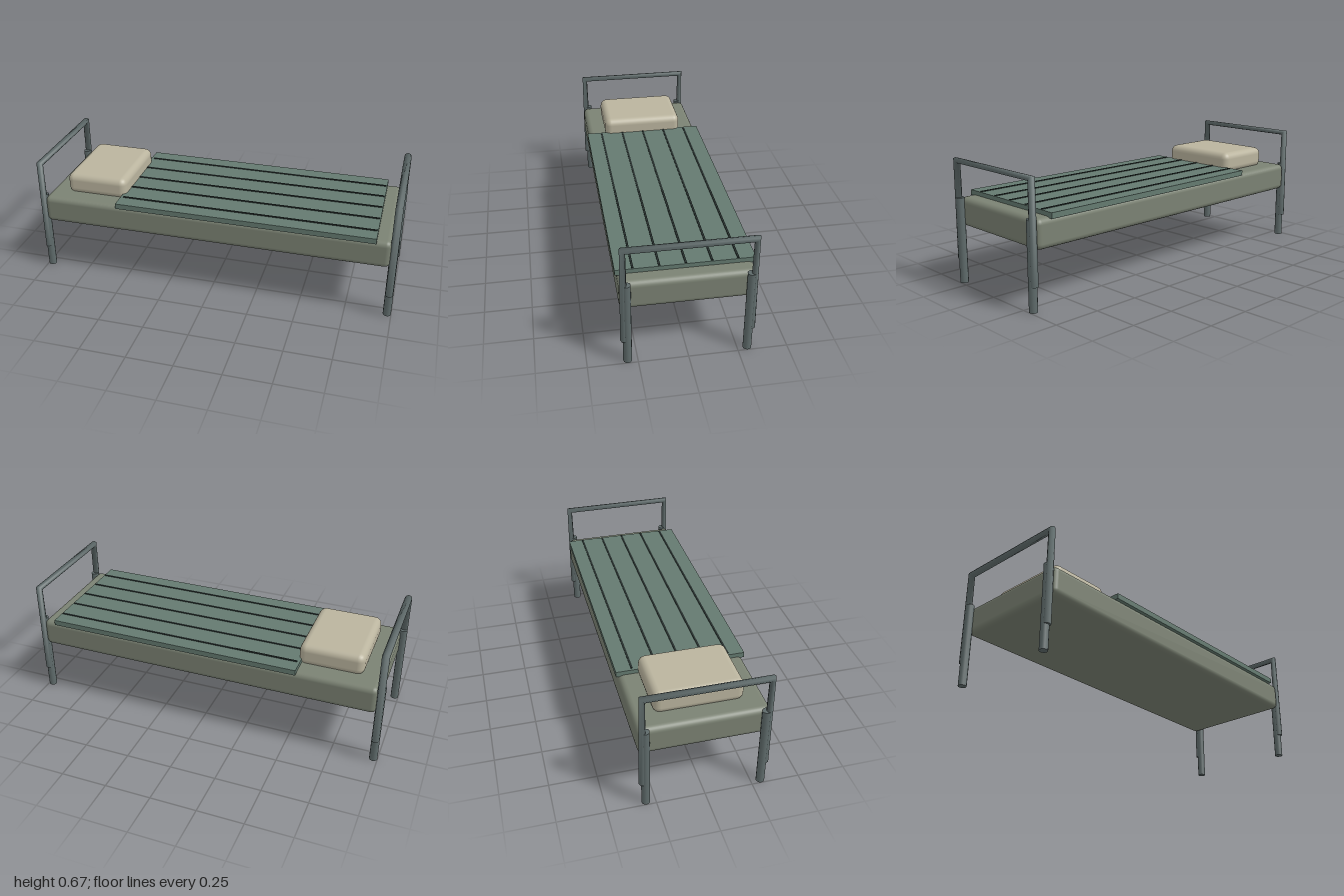
import * as THREE from 'three';
import { RoundedBoxGeometry } from 'three/addons/geometries/RoundedBoxGeometry.js';

// Polyline whose tube rings sit exactly on its corners, tilted to the mitre
class MitredPath extends THREE.Curve {
  constructor(points) {
    super();
    this.points = points;
  }
  index(u) {
    return Math.round(u * (this.points.length - 1));
  }
  getPointAt(u) {
    return this.points[this.index(u)].clone();
  }
  getTangentAt(u) {
    const p = this.points, i = this.index(u), t = new THREE.Vector3();
    if (i > 0) t.add(p[i].clone().sub(p[i - 1]).normalize());
    if (i < p.length - 1) t.add(p[i + 1].clone().sub(p[i]).normalize());
    return t.normalize();
  }
}

export function createModel() {
  const bed = new THREE.Group();
  bed.name = 'bed';

  const paint = (color) => new THREE.MeshStandardMaterial({ color });
  const metal = paint(0x5f6b6b);
  metal.side = THREE.DoubleSide;
  const canvas = paint(0x7b8273);
  const linen = paint(0xbab49e);
  const wool = paint(0x647a70);
  const stripeDark = paint(0x27302e);

  const add = (name, geometry, material, x, y, z, parent = bed) => {
    const mesh = new THREE.Mesh(geometry, material);
    mesh.name = name;
    mesh.position.set(x, y, z);
    parent.add(mesh);
    return mesh;
  };

  // Mattress and pillow
  add('mattress', new RoundedBoxGeometry(1.93, 0.154, 0.664, 3, 0.03), canvas, 0, 0.38, 0);
  add('pillow', new RoundedBoxGeometry(0.348, 0.12, 0.46, 3, 0.038), linen, -0.691, 0.505, 0);

  // Blanket with raised lengthwise stripes
  const blanket = new THREE.Group();
  blanket.name = 'blanket';
  bed.add(blanket);
  add('blanketSheet', new THREE.BoxGeometry(1.42, 0.03, 0.684), wool, 0.175, 0.465, 0, blanket);
  for (let i = -2; i <= 2; i++) {
    add('blanketStripe', new THREE.BoxGeometry(1.4, 0.008, 0.01), stripeDark, 0.18, 0.48, i * 0.128, blanket);
  }

  // End frames: two stout legs and a bent tube hoop at each end
  const legGeometry = new THREE.CylinderGeometry(0.022, 0.022, 0.46, 12);
  const hoopPath = new MitredPath(
    [[0.13, 0.314], [0.653, 0.314], [0.653, -0.314], [0.13, -0.314]]
      .map(([y, z]) => new THREE.Vector3(0, y, z)));
  const hoopGeometry = new THREE.TubeGeometry(hoopPath, 3, 0.02, 8);
  const capGeometry = new THREE.CircleGeometry(0.02, 8).rotateX(Math.PI / 2);

  for (const side of [-1, 1]) {
    const frame = new THREE.Group();
    frame.name = side < 0 ? 'headFrame' : 'footFrame';
    frame.position.x = side * 0.978;
    bed.add(frame);
    add('hoop', hoopGeometry, metal, 0, 0, 0, frame);
    for (const z of [-1, 1]) {
      add('leg', legGeometry, metal, 0, 0.23, z * 0.3, frame);
      add('hoopEnd', capGeometry, metal, 0, 0.13, z * 0.314, frame);
    }
  }
  return bed;
}
